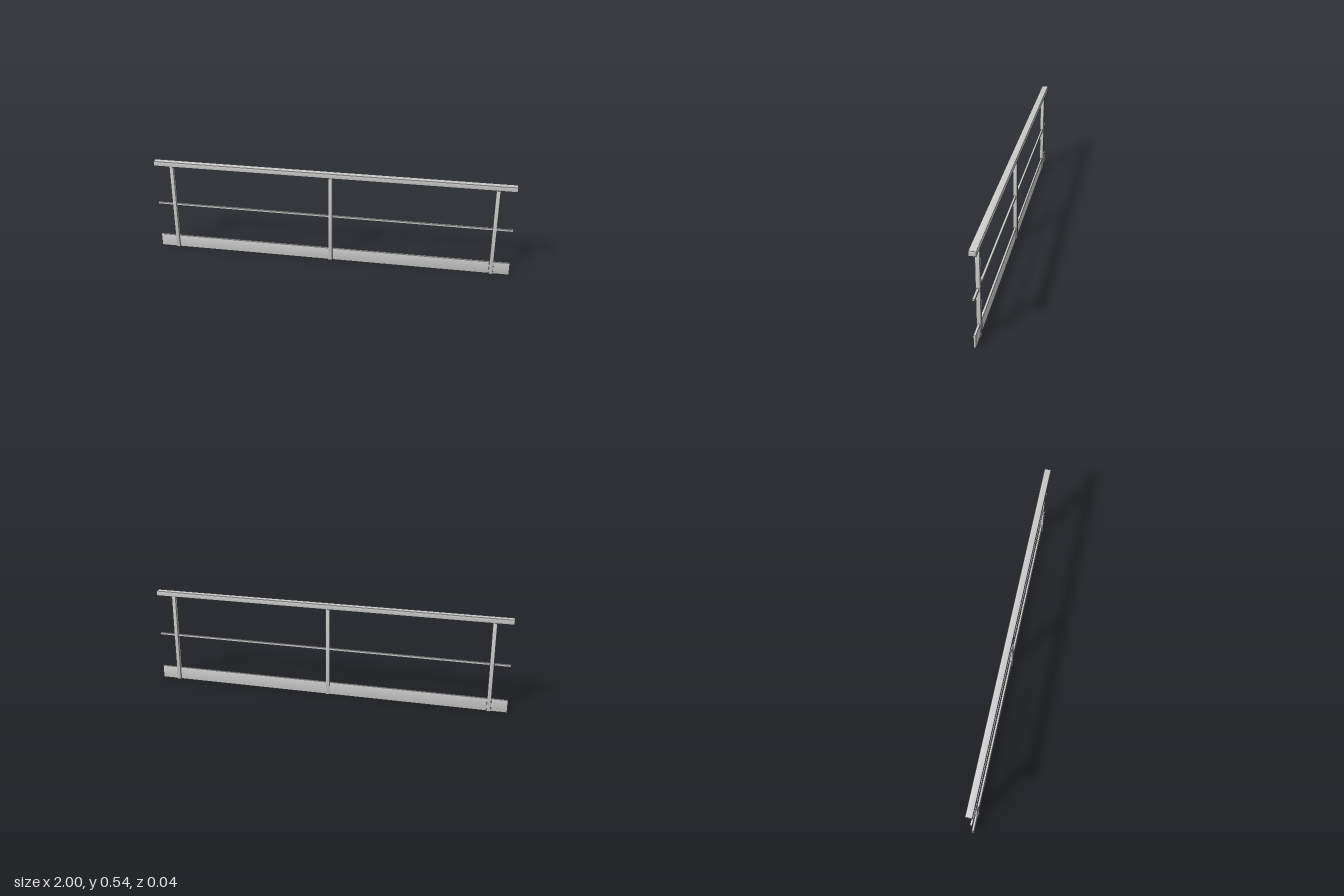
import * as THREE from 'three';
import { RoundedBoxGeometry } from 'three/addons/geometries/RoundedBoxGeometry.js';

// Lean the normals outward so shading flows softly over the edges
function softenNormals(geometry, amount) {
  const { position, normal } = geometry.attributes;
  const p = new THREE.Vector3();
  const n = new THREE.Vector3();
  for (let i = 0; i < position.count; i++) {
    p.fromBufferAttribute(position, i);
    n.fromBufferAttribute(normal, i);
    n.x += Math.sign(p.x) * amount;
    n.y += Math.sign(p.y) * amount;
    n.z += Math.sign(p.z) * amount;
    n.normalize();
    normal.setXYZ(i, n.x, n.y, n.z);
  }
}

export function createModel() {
  const group = new THREE.Group();
  const metal = new THREE.MeshStandardMaterial({ color: 0xcccccc });
  metal.name = 'light grey metal';

  // Bar with softened edges, spanning y0 to y1
  const addBar = (name, x, y0, y1, width, depth, radius) => {
    const geometry = new RoundedBoxGeometry(width, y1 - y0, depth, 1, radius);
    softenNormals(geometry, 0.2);
    const mesh = new THREE.Mesh(geometry, metal);
    mesh.name = name;
    mesh.position.set(x, (y0 + y1) / 2, 0);
    group.add(mesh);
  };

  // Horizontal members
  addBar('handrail', 0, 0.512, 0.541, 2, 0.038, 0.003);
  addBar('middleRail', 0, 0.27, 0.283, 2, 0.013, 0.0008);
  addBar('toeBoard', 0, 0.002, 0.076, 2, 0.013, 0.001);

  // Upright posts
  const posts = { rightPost: -0.9, centrePost: 0, leftPost: 0.9 };
  for (const [name, x] of Object.entries(posts)) {
    addBar(name, x, 0, 0.514, 0.024, 0.024, 0.002);
  }
  return group;
}
